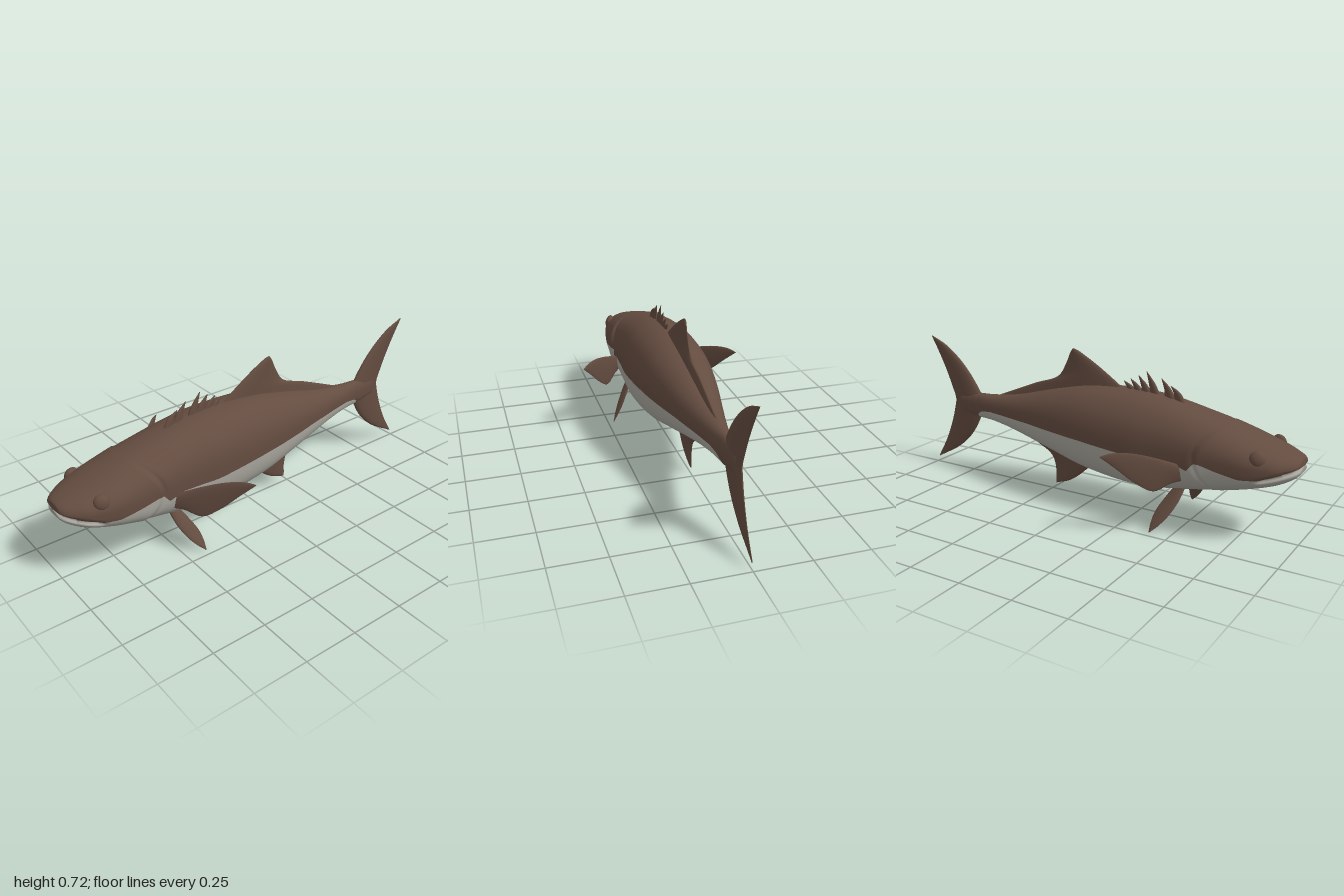
import * as THREE from 'three';

const skin = new THREE.MeshStandardMaterial({ name: 'brown skin', color: 0x644c40, side: THREE.DoubleSide });
const belly = new THREE.MeshStandardMaterial({ name: 'pale belly', color: 0xa8a69d, side: THREE.DoubleSide });

// Body stations: x, top y, bottom y, half width
const STATIONS = [
  [-1, 0.385, 0.335, 0.045], [-0.985, 0.395, 0.315, 0.075], [-0.95, 0.408, 0.292, 0.108],
  [-0.9, 0.425, 0.27, 0.138], [-0.8, 0.457, 0.24, 0.165], [-0.7, 0.487, 0.215, 0.173],
  [-0.6, 0.512, 0.194, 0.174], [-0.4, 0.555, 0.16, 0.177], [-0.25, 0.57, 0.15, 0.181],
  [0, 0.563, 0.178, 0.166], [0.2, 0.522, 0.225, 0.133], [0.4, 0.467, 0.27, 0.088],
  [0.5, 0.445, 0.288, 0.065], [0.6, 0.43, 0.3, 0.045], [0.7, 0.425, 0.304, 0.03], [0.82, 0.41, 0.32, 0.016],
];
// Height of the colour border along the body
const BORDER = [
  [-1, 0.362], [-0.93, 0.335], [-0.86, 0.31], [-0.78, 0.305], [-0.68, 0.325], [-0.6, 0.345], [-0.575, 0.335],
  [-0.55, 0.302], [-0.48, 0.325], [-0.3, 0.318], [0, 0.34], [0.3, 0.35], [0.6, 0.35], [0.66, 0.34],
  [0.69, 0.318], [0.705, 0.2], [0.82, 0.2],
];

// Value of a table column at x, linear or smooth
function sample(table, col, x, smooth) {
  let i = 0;
  while (i < table.length - 2 && x > table[i + 1][0]) i++;
  const slope = (a, b) => (table[b][col] - table[a][col]) / (table[b][0] - table[a][0]);
  const h = table[i + 1][0] - table[i][0], t = (x - table[i][0]) / h;
  const p = table[i][col], q = table[i + 1][col];
  if (!smooth) return p + (q - p) * t;
  const m0 = slope(Math.max(i - 1, 0), i + 1) * h;
  const m1 = slope(i, Math.min(i + 2, table.length - 1)) * h;
  const t2 = t * t, t3 = t2 * t;
  return p * (2 * t3 - 3 * t2 + 1) + m0 * (t3 - 2 * t2 + t) + q * (3 * t2 - 2 * t3) + m1 * (t3 - t2);
}

const signedPow = (v, e) => Math.sign(v) * Math.abs(v) ** e;

// Grid of rings to triangles; pick(j) chooses the columns
function gridIndices(rings, cols, pick, index) {
  for (let i = 0; i < rings; i++) for (let j = 0; j < cols; j++) {
    if (!pick(j)) continue;
    const a = i * cols + j, b = i * cols + (j + 1) % cols;
    index.push(a, a + cols, b, b, a + cols, b + cols);
  }
}

function makeGeometry(pos, index) {
  const g = new THREE.BufferGeometry();
  g.setAttribute('position', new THREE.Float32BufferAttribute(pos, 3));
  g.setIndex(index);
  g.computeVertexNormals();
  return g;
}

// Superellipse rings, with a mouth groove and raised gill covers
function buildBody() {
  const RINGS = 180, UP = 44, LOW = 36, COLS = UP + LOW, pos = [];
  for (let i = 0; i <= RINGS; i++) {
    const x = -1 + 1.82 * (i / RINGS) ** 1.25;
    const top = sample(STATIONS, 1, x, true), bot = sample(STATIONS, 2, x, true);
    const w = sample(STATIONS, 3, x, true), yc = (top + bot) / 2, h = (top - bot) / 2;
    const cap = i === 0 || i === RINGS ? 0 : 1;
    const t = THREE.MathUtils.clamp((sample(BORDER, 1, x, false) - yc) / h, -1, 0.95);
    const a0 = Math.asin(signedPow(t, t > 0 ? 1.1 : 1.5));
    for (let j = 0; j < COLS; j++) {
      const a = j < UP ? a0 + (Math.PI - 2 * a0) * j / UP
        : Math.PI - a0 + (Math.PI + 2 * a0) * (j - UP) / LOW;
      const n = Math.sin(a) > 0 ? 2.2 : 3;
      let y = yc + h * cap * signedPow(Math.sin(a), 2 / n);
      let z = w * cap * signedPow(Math.cos(a), 2 / n);
      const gap = -0.585 - 5 * (y - 0.36) ** 2 - x;
      if (gap > -0.03) {
        z *= 1 + 0.065 * THREE.MathUtils.smoothstep(gap, -0.008, 0.01) * Math.exp(-Math.max(gap, 0) / 0.09);
        z *= 1 - 0.03 * Math.exp(-(((gap + 0.012) / 0.01) ** 2));
      }
      const mouth = 0.352 - 0.33 * (x + 1);
      const fade = 1 - THREE.MathUtils.smoothstep(x, -0.88, -0.83);
      const groove = fade * Math.exp(-(((y - mouth) / 0.007) ** 2));
      z *= 1 - 0.14 * groove;
      pos.push(x + 0.012 * groove * cap * (x < -0.95 ? 1 : 0), y, z);
    }
  }
  const index = [];
  gridIndices(RINGS, COLS, j => j < UP, index);
  const split = index.length;
  gridIndices(RINGS, COLS, j => j >= UP, index);
  const g = makeGeometry(pos, index);
  g.addGroup(0, split, 0);
  g.addGroup(split, index.length - split, 1);
  return g;
}

// Fin lofted through rows of [front u, front v, back u, back v, half thickness]
function buildFin(rows, place, normal) {
  const COLS = 20, STEPS = 6, pos = [];
  const n = new THREE.Vector3(...normal).normalize();
  const lead = new THREE.CatmullRomCurve3(rows.map(r => new THREE.Vector3(r[0], r[1], r[4])));
  const trail = new THREE.CatmullRomCurve3(rows.map(r => new THREE.Vector3(r[2], r[3], r[4])));
  const rings = (rows.length - 1) * STEPS;
  for (let i = 0; i <= rings; i++) {
    const p = lead.getPoint(i / rings), q = trail.getPoint(i / rings);
    for (let j = 0; j < COLS; j++) {
      const a = j / COLS * Math.PI * 2, k = (1 - Math.cos(a)) / 2;
      const off = p.z * Math.sin(a) * (1 - 0.5 * k);
      const c = place(p.x + (q.x - p.x) * k, p.y + (q.y - p.y) * k);
      pos.push(c[0] + n.x * off, c[1] + n.y * off, c[2] + n.z * off);
    }
  }
  const index = [];
  gridIndices(rings, COLS, () => true, index);
  return makeGeometry(pos, index);
}

export function createModel() {
  const fish = new THREE.Group();
  fish.name = 'fish';
  const add = (name, geometry, material = skin) => {
    const mesh = new THREE.Mesh(geometry, material);
    mesh.name = name;
    fish.add(mesh);
    return mesh;
  };
  const upright = (u, v) => [u, v, 0];

  add('body', buildBody(), [skin, belly]);

  // Fins on the centre line
  add('dorsalFin', buildFin([
    [-0.2, 0.53, 0.56, 0.436, 0.024], [-0.09, 0.605, 0.34, 0.527, 0.02], [-0.02, 0.65, 0.205, 0.58, 0.017],
    [0.05, 0.69, 0.16, 0.65, 0.013], [0.1, 0.714, 0.138, 0.7, 0.009], [0.12, 0.72, 0.125, 0.718, 0.003],
  ], upright, [0, 0, 1]));
  add('analFin', buildFin([
    [-0.02, 0.21, 0.53, 0.293, 0.022], [0.05, 0.14, 0.34, 0.228, 0.019], [0.1, 0.095, 0.25, 0.175, 0.016],
    [0.15, 0.062, 0.228, 0.11, 0.012], [0.2, 0.043, 0.228, 0.06, 0.008], [0.225, 0.035, 0.228, 0.037, 0.003],
  ], upright, [0, 0, 1]));
  add('tailFin', buildFin([
    [0.99, 0.69, 0.992, 0.686, 0.003], [0.89, 0.645, 0.955, 0.62, 0.011], [0.78, 0.555, 0.905, 0.52, 0.017],
    [0.69, 0.435, 0.868, 0.43, 0.022], [0.66, 0.365, 0.85, 0.375, 0.024], [0.69, 0.295, 0.86, 0.32, 0.022],
    [0.745, 0.205, 0.885, 0.24, 0.017], [0.835, 0.12, 0.928, 0.14, 0.011], [0.985, 0.034, 0.988, 0.037, 0.003],
  ], upright, [0, 0, 1]));

  // Row of short spines ahead of the dorsal fin
  [[-0.385, 0.61], [-0.34, 0.637], [-0.265, 0.66], [-0.225, 0.637], [-0.185, 0.617], [-0.15, 0.603]]
    .forEach(([x, y], i) => add('dorsalSpine' + (i + 1), buildFin([
      [x - 0.075, 0.54, x - 0.015, 0.54, 0.014],
      [x - 0.045, 0.58 + (y - 0.6) * 0.4, x - 0.014, 0.575 + (y - 0.6) * 0.2, 0.01],
      [x, y, x + 0.002, y - 0.002, 0.002],
    ], upright, [0, 0, 1])));

  // Paired fins and eyes
  for (const [side, s] of [['right', -1], ['left', 1]]) {
    add(side + 'PectoralFin', buildFin([
      [0.145, 0.31, 0.145, 0.25, 0.012], [0.19, 0.335, 0.185, 0.24, 0.012], [0.25, 0.365, 0.237, 0.208, 0.01],
      [0.31, 0.386, 0.29, 0.25, 0.008], [0.36, 0.389, 0.345, 0.32, 0.006], [0.39, 0.377, 0.388, 0.373, 0.002],
    ], (u, v) => [-0.51 + (u - 0.17) * 1.15, v, u * s], [-0.75, 0, 0.65 * s]));
    add(side + 'PelvicFin', buildFin([
      [-0.52, 0.2, -0.47, 0.2, 0.014], [-0.505, 0.14, -0.44, 0.15, 0.012],
      [-0.475, 0.08, -0.41, 0.09, 0.009], [-0.44, 0.035, -0.402, 0.045, 0.006], [-0.406, 0.003, -0.403, 0.006, 0.002],
    ], (u, v) => [u, v, s * (0.125 + (0.17 - v) * 0.57)], [0, 0.5, 0.86 * s]));
    const eye = add(side + 'Eye', new THREE.SphereGeometry(0.034, 24, 16));
    eye.scale.z = 0.6;
    eye.position.set(-0.845, 0.398, 0.132 * s);
    eye.rotation.set(-0.3 * s, -0.3 * s, 0);
  }
  return fish;
}
